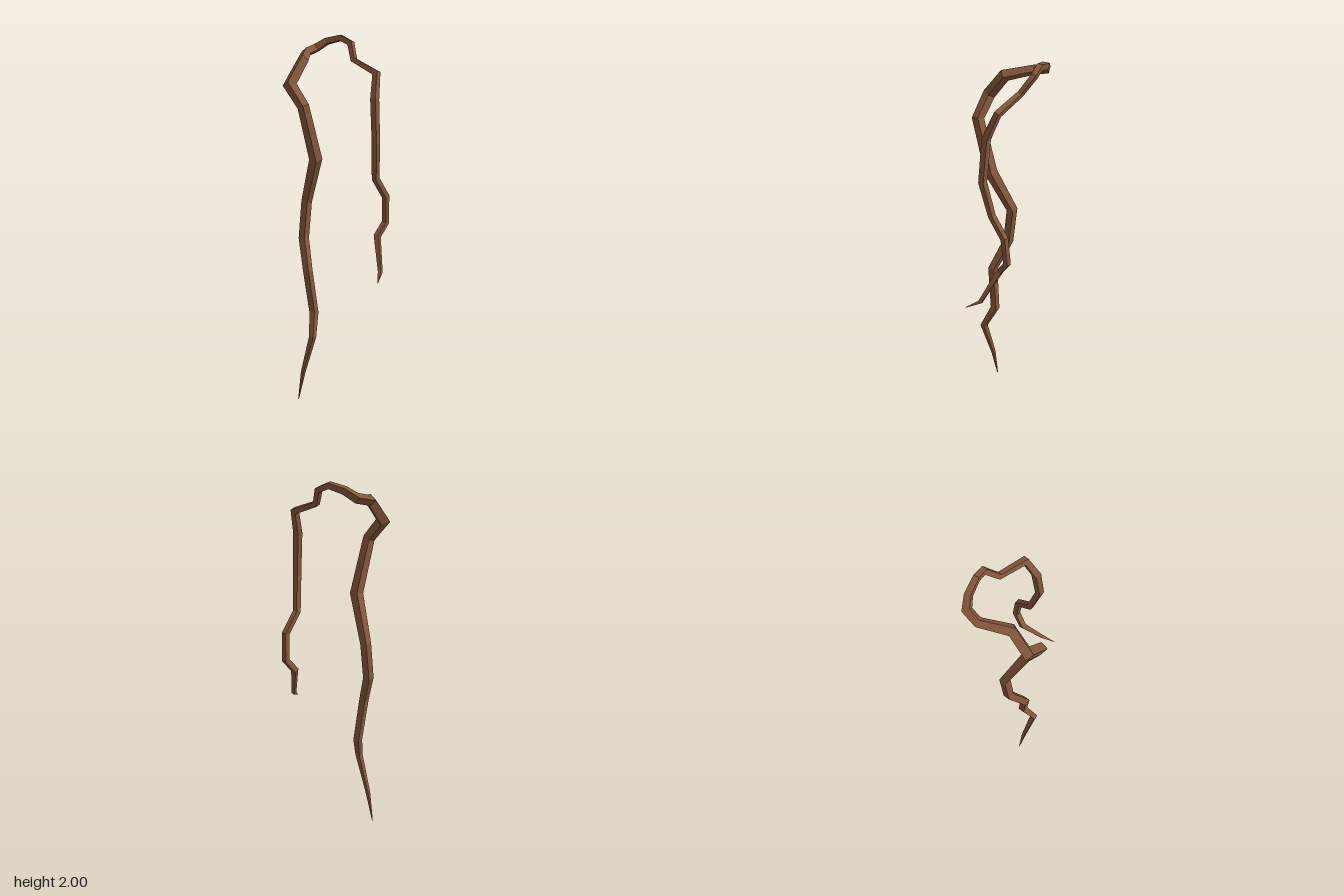
import * as THREE from 'three';

// Path of the stem from the lower tip, over the hook, to the hanging tip: x, y, z, width
const STEM = [
  [-0.167, 0.005, 0.136, 0.003],
  [-0.13, 0.17, 0.138, 0.018],
  [-0.055, 0.385, 0.145, 0.028],
  [-0.09, 0.505, 0.092, 0.035],
  [-0.107, 0.74, 0.122, 0.037],
  [-0.18, 0.905, 0.07, 0.04],
  [-0.18, 1.105, 0.045, 0.041],
  [-0.067, 1.35, 0.1, 0.049],
  [-0.072, 1.635, 0.193, 0.044],
  [-0.166, 1.745, 0.193, 0.048],
  [-0.165, 1.87, 0.088, 0.045],
  [-0.253, 1.907, -0.042, 0.038],
  [-0.249, 1.928, -0.117, 0.038],
  [-0.2, 1.965, -0.151, 0.034],
  [-0.12, 1.984, -0.176, 0.03],
  [-0.06, 1.955, -0.188, 0.028],
  [-0.004, 1.868, -0.145, 0.026],
  [0.16, 1.803, -0.13, 0.03],
  [0.188, 1.67, -0.08, 0.034],
  [0.206, 1.435, -0.07, 0.032],
  [0.177, 1.245, -0.106, 0.029],
  [0.18, 1.14, -0.192, 0.029],
  [0.172, 0.995, -0.203, 0.028],
  [0.161, 0.925, -0.145, 0.028],
  [0.236, 0.75, -0.075, 0.019],
  [0.275, 0.705, -0.003, 0.002],
];

// Square rod with mitred joints, tapering along the path
function taperedRod(path) {
  const points = path.map(([x, y, z]) => new THREE.Vector3(x, y, z));
  const last = points.length - 1;
  const directions = points.slice(1).map((p, i) => p.clone().sub(points[i]).normalize());

  // Corner offsets start square to the axes and are carried from segment to segment
  const turn = new THREE.Quaternion().setFromUnitVectors(new THREE.Vector3(0, 1, 0), directions[0]);
  const corners = [[1, 1], [1, -1], [-1, -1], [-1, 1]].map(
    ([x, z]) => new THREE.Vector3(x / 2, 0, z / 2).applyQuaternion(turn));

  const positions = [];
  points.forEach((point, i) => {
    const before = directions[Math.max(i - 1, 0)];
    const after = directions[Math.min(i, last - 1)];
    const normal = before.clone().add(after).normalize();
    for (const corner of corners) {
      const slide = -corner.dot(normal) / before.dot(normal);
      const v = corner.clone().addScaledVector(before, slide).multiplyScalar(path[i][3]).add(point);
      positions.push(v.x, v.y, v.z);
    }
    turn.setFromUnitVectors(before, after);
    corners.forEach((corner) => corner.applyQuaternion(turn));
  });

  // Sides, wound to face outwards
  const index = [];
  for (let i = 0; i < last; i++) {
    for (let k = 0; k < 4; k++) {
      const a = i * 4 + k, b = i * 4 + (k + 1) % 4;
      index.push(a, b, a + 4, b, b + 4, a + 4);
    }
  }
  // End caps
  const e = last * 4;
  index.push(0, 2, 1, 0, 3, 2, e, e + 1, e + 2, e, e + 2, e + 3);

  const indexed = new THREE.BufferGeometry();
  indexed.setAttribute('position', new THREE.Float32BufferAttribute(positions, 3));
  indexed.setIndex(index);
  const geometry = indexed.toNonIndexed();
  geometry.computeVertexNormals();
  return geometry;
}

export function createModel() {
  const group = new THREE.Group();
  group.name = 'hangingVine';
  const bark = new THREE.MeshStandardMaterial({ color: 0x85573c });
  bark.name = 'brown bark';

  const stem = new THREE.Mesh(taperedRod(STEM), bark);
  stem.name = 'stem';
  group.add(stem);
  return group;
}
